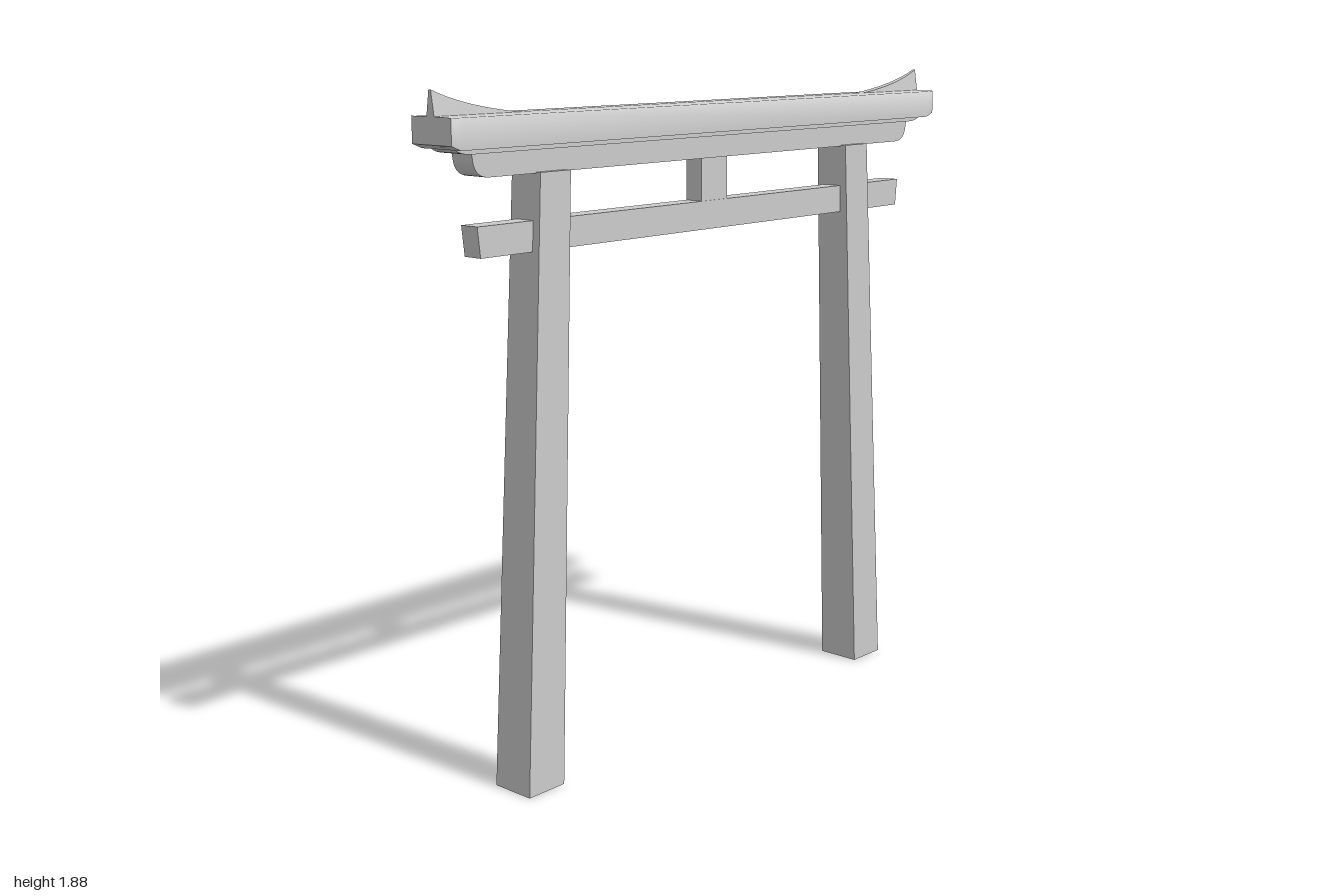
import * as THREE from 'three';

const material = new THREE.MeshStandardMaterial({ color: 0xcccccc, side: THREE.DoubleSide });

function add(group, name, geometry) {
  const mesh = new THREE.Mesh(geometry, material);
  mesh.name = name;
  group.add(mesh);
  return mesh;
}

// Six-sided block whose bottom and top are separate rectangles: [xMin, xMax, zHalf]
function taperedBlock(y0, y1, bottom, top) {
  const g = new THREE.BoxGeometry(1, 1, 1);
  const p = g.attributes.position;
  for (let i = 0; i < p.count; i++) {
    const up = p.getY(i) > 0;
    const [x0, x1, z] = up ? top : bottom;
    p.setXYZ(i, p.getX(i) > 0 ? x1 : x0, up ? y1 : y0, p.getZ(i) > 0 ? z : -z);
  }
  g.computeVertexNormals();
  return g;
}

// Front outline extruded evenly about z = 0
function slab(shape, half) {
  const g = new THREE.ExtrudeGeometry(shape, { depth: half * 2, bevelEnabled: false, curveSegments: 10 });
  return g.translate(0, 0, -half);
}

// Lofts an open cross-section strip along x; vertices are shared so it shades softly
function loft(stations, section) {
  const pos = [], idx = [];
  let n = 0;
  for (const x of stations) {
    const ring = section(x);
    n = ring.length;
    for (const [y, z] of ring) pos.push(x, y, z);
  }
  for (let i = 0; i < stations.length - 1; i++) {
    for (let j = 0; j < n - 1; j++) {
      const a = i * n + j, b = a + n;
      idx.push(a, b, a + 1, b, b + 1, a + 1);
    }
  }
  const g = new THREE.BufferGeometry();
  g.setAttribute('position', new THREE.Float32BufferAttribute(pos, 3));
  g.setIndex(idx);
  g.computeVertexNormals();
  return g;
}

export function createModel() {
  const model = new THREE.Group();
  model.name = 'gateway';

  // Leaning, tapering posts
  add(model, 'leftPost', taperedBlock(0, 1.66, [0.647, 0.775, 0.066], [0.573, 0.68, 0.053]));
  add(model, 'rightPost', taperedBlock(0, 1.66, [-0.788, -0.66, 0.066], [-0.693, -0.586, 0.053]));

  // Tie beam with slanted ends, and the short strut above it
  add(model, 'tieBeam', taperedBlock(1.457, 1.537, [-0.88, 0.867, 0.03], [-0.889, 0.875, 0.03]));
  add(model, 'centerStrut', taperedBlock(1.53, 1.66, [-0.055, 0.055, 0.028], [-0.055, 0.055, 0.028]));

  // Lower lintel with rounded lower corners
  const lower = new THREE.Shape();
  lower.moveTo(-0.91, 1.73);
  lower.lineTo(-0.905, 1.705);
  lower.quadraticCurveTo(-0.9, 1.657, -0.85, 1.657);
  lower.lineTo(0.85, 1.657);
  lower.quadraticCurveTo(0.9, 1.657, 0.905, 1.705);
  lower.lineTo(0.91, 1.73);
  add(model, 'lowerLintel', slab(lower, 0.037));

  // Thin step between lower lintel and roof beam
  const step = new THREE.Shape();
  step.moveTo(-0.97, 1.735);
  step.quadraticCurveTo(-0.955, 1.717, -0.91, 1.717);
  step.lineTo(0.91, 1.717);
  step.quadraticCurveTo(0.955, 1.717, 0.97, 1.735);
  add(model, 'lintelStep', slab(step, 0.045));

  // Roof beam: soft upper faces, crisp underside and ends
  const roof = new THREE.Group();
  roof.name = 'roofBeam';
  model.add(roof);
  const stations = [-1, -0.97, 0.97, 1];
  const bottomY = x => (Math.abs(x) > 0.98 ? 1.742 : 1.73);
  const front = 0.072, back = -0.074;
  add(roof, 'roofShell', loft(stations, x => [
    [bottomY(x), front], [1.809, front], [1.811, 0], [1.809, back], [bottomY(x), back],
  ]));
  add(roof, 'roofUnderside', loft(stations, x => [[bottomY(x), back], [bottomY(x), front]]));
  for (const side of [-1, 1]) {
    const cap = new THREE.PlaneGeometry(front - back, 0.068);
    cap.rotateY(side * Math.PI / 2).translate(side, 1.776, (front + back) / 2);
    add(roof, side > 0 ? 'leftRoofEnd' : 'rightRoofEnd', cap);
  }

  // Upswept ridge fins, thinner toward the tip
  for (const side of [-1, 1]) {
    const fin = new THREE.Shape();
    fin.moveTo(side * 0.7, 1.805);
    fin.lineTo(side, 1.805);
    fin.lineTo(side, 1.875);
    fin.quadraticCurveTo(side * 0.9, 1.83, side * 0.7, 1.809);
    const g = slab(fin, 1);
    const p = g.attributes.position;
    for (let i = 0; i < p.count; i++) {
      const t = THREE.MathUtils.clamp((p.getY(i) - 1.805) / 0.07, 0, 1);
      p.setZ(i, Math.sign(p.getZ(i)) * THREE.MathUtils.lerp(0.015, 0.004, t) - 0.003);
    }
    g.computeVertexNormals();
    add(model, side > 0 ? 'leftRidgeFin' : 'rightRidgeFin', g);
  }

  return model;
}
